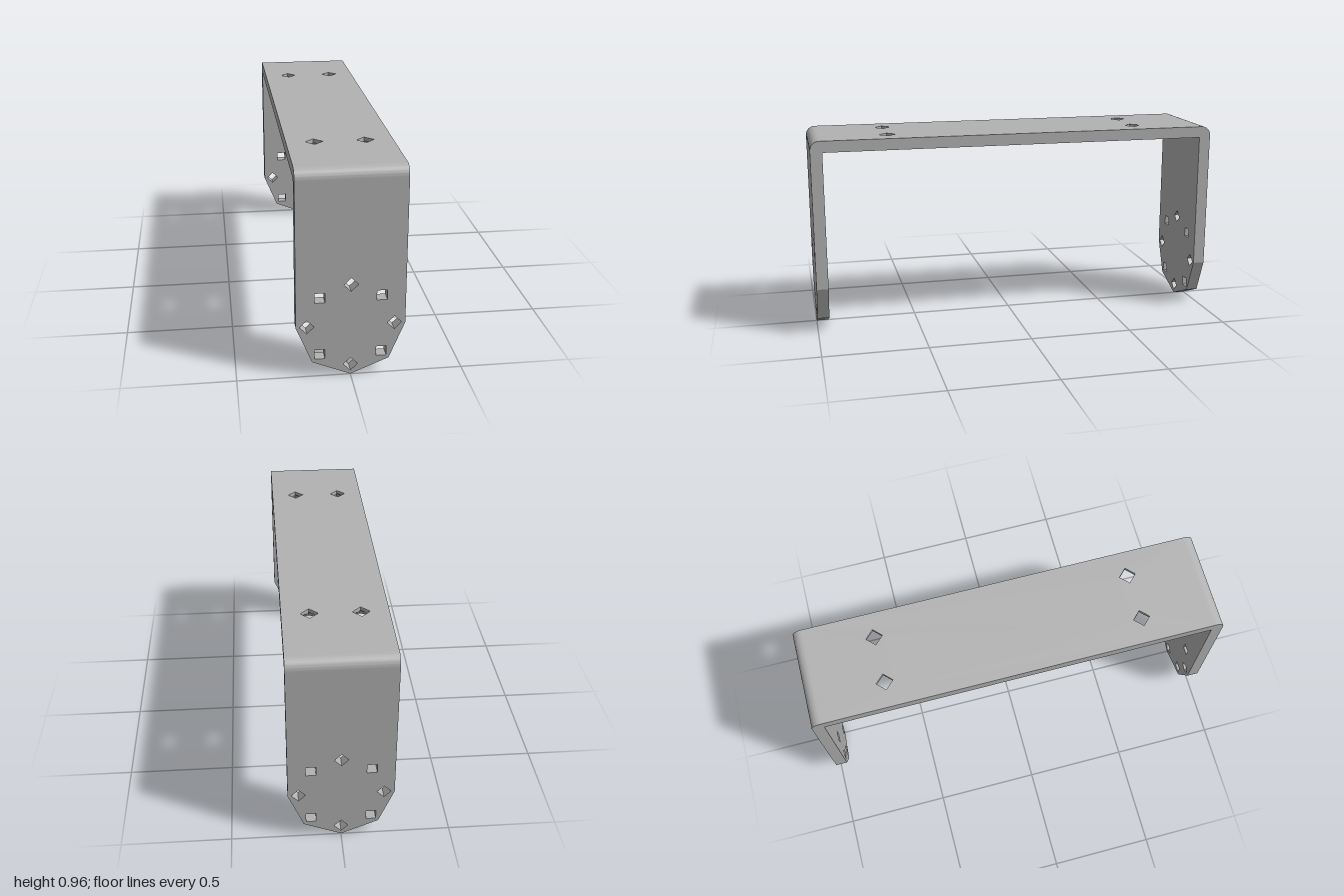
import * as THREE from 'three';
import { mergeGeometries, toCreasedNormals } from 'three/addons/utils/BufferGeometryUtils.js';

const HALF_W = 0.24, TOP = 0.96, UNDER = 0.905, OUT = 1, IN = 0.943;

// Regular polygon points; the first corner lies at angle `turn`
function ring(cx, cy, r, sides, turn = 0) {
  return Array.from({ length: sides }, (_, i) => {
    const a = turn + (i / sides) * Math.PI * 2;
    return new THREE.Vector2(cx + r * Math.cos(a), cy + r * Math.sin(a));
  });
}

// Eight points around a diamond: corners and edge midpoints
function diamond(cx, cy, r) {
  return ring(0, 0, r, 8).map((p, i) =>
    p.multiplyScalar(i % 2 ? Math.SQRT1_2 : 1).add(new THREE.Vector2(cx, cy)));
}

// Leg with a half-octagon foot and a circle of eight square holes
function legGeometry() {
  const k = HALF_W * Math.SQRT1_2;
  const shape = new THREE.Shape([
    [-HALF_W, UNDER], [-HALF_W, HALF_W], [-k, HALF_W - k], [0, 0],
    [k, HALF_W - k], [HALF_W, HALF_W], [HALF_W, UNDER],
  ].map(([x, y]) => new THREE.Vector2(x, y)));
  for (let i = 0; i < 8; i++) {
    const a = (i * Math.PI) / 4;
    const pts = ring(0.192 * Math.cos(a), 0.242 + 0.192 * Math.sin(a), 0.032, 4, a);
    shape.holes.push(new THREE.Path(pts));
  }
  return new THREE.ExtrudeGeometry(shape, { depth: OUT - IN, bevelEnabled: false })
    .translate(0, 0, IN);
}

// Rounded outer corner joining leg and top plate
function bendGeometry() {
  const r = 0.045;
  const s = new THREE.Shape();
  s.moveTo(IN, UNDER);
  s.lineTo(OUT, UNDER);
  s.lineTo(OUT, TOP - r);
  s.absarc(OUT - r, TOP - r, r, 0, Math.PI / 2, false);
  s.lineTo(IN, TOP);
  const g = new THREE.ExtrudeGeometry(s, { depth: HALF_W * 2, bevelEnabled: false, curveSegments: 6 });
  g.rotateY(-Math.PI / 2).translate(HALF_W, 0, 0);
  return toCreasedNormals(g, 0.5);
}

// Wall of a hole: octagonal countersink below, diamond bore above
function countersinkGeometry(cx, cz) {
  const levels = [
    [ring(cx, cz, 0.075, 8), UNDER],
    [diamond(cx, cz, 0.04), 0.943],
    [diamond(cx, cz, 0.04), TOP],
  ];
  const pos = [];
  for (let l = 0; l < 2; l++) {
    const [[lo, y0], [hi, y1]] = [levels[l], levels[l + 1]];
    for (let i = 0; i < 8; i++) {
      const j = (i + 1) % 8;
      const A = [lo[i].x, y0, lo[i].y], B = [lo[j].x, y0, lo[j].y];
      const C = [hi[j].x, y1, hi[j].y], D = [hi[i].x, y1, hi[i].y];
      pos.push(...A, ...B, ...D, ...B, ...C, ...D);
    }
  }
  const g = new THREE.BufferGeometry();
  g.setAttribute('position', new THREE.Float32BufferAttribute(pos, 3));
  g.computeVertexNormals();
  return g;
}

// Upper or lower skin of the top plate
function skin(holes) {
  const s = new THREE.Shape(
    [[-HALF_W, -IN], [HALF_W, -IN], [HALF_W, IN], [-HALF_W, IN]]
      .map(([x, y]) => new THREE.Vector2(x, y)));
  s.holes = holes.map((pts) => new THREE.Path(pts));
  return new THREE.ShapeGeometry(s);
}

export function createModel() {
  const steel = new THREE.MeshStandardMaterial({ color: 0xb2b2b2 });
  steel.name = 'grey steel';
  const model = new THREE.Group();
  model.name = 'uBracket';
  const add = (parent, name, geometry) => {
    const m = new THREE.Mesh(geometry, steel);
    m.name = name;
    parent.add(m);
  };

  // Front and back arms
  const leg = legGeometry(), bend = bendGeometry();
  ['front', 'back'].forEach((side, i) => {
    const arm = new THREE.Group();
    arm.name = side + 'Arm';
    arm.rotation.y = i * Math.PI;
    add(arm, side + 'Leg', leg);
    add(arm, side + 'Bend', bend);
    model.add(arm);
  });

  // Top plate with four countersunk holes
  const centres = [];
  for (const x of [-0.115, 0.115]) for (const z of [-0.625, 0.625]) centres.push([x, z]);
  const plate = new THREE.Group();
  plate.name = 'topPlate';
  add(plate, 'plateTop',
    skin(centres.map(([x, z]) => diamond(x, z, 0.04))).rotateX(-Math.PI / 2).translate(0, TOP, 0));
  add(plate, 'plateUnderside',
    skin(centres.map(([x, z]) => ring(x, z, 0.075, 8))).rotateX(Math.PI / 2).translate(0, UNDER, 0));
  for (const s of [-1, 1]) {
    add(plate, s > 0 ? 'plateLeftEdge' : 'plateRightEdge',
      new THREE.PlaneGeometry(IN * 2, TOP - UNDER)
        .rotateY((s * Math.PI) / 2).translate(s * HALF_W, (TOP + UNDER) / 2, 0));
  }
  add(plate, 'countersunkHoles',
    mergeGeometries(centres.map(([x, z]) => countersinkGeometry(x, z))));
  model.add(plate);
  return model;
}
